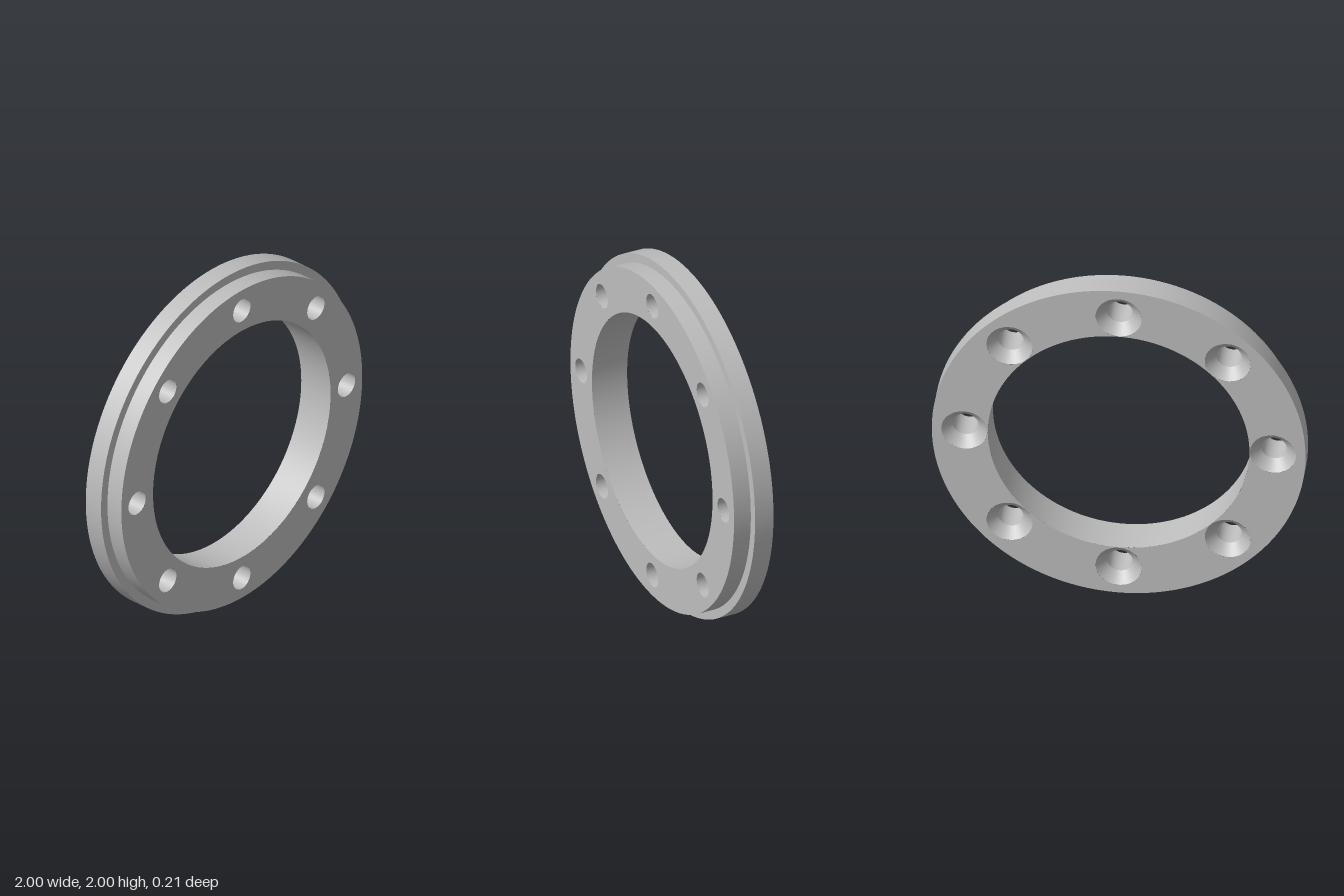
import * as THREE from 'three';

const BACK = -0.105, STEP = 0.005, FRONT = 0.105;
const OUTER = 1, SPIGOT = 0.95, INNER = 0.7;
const BOLT_CIRCLE = 0.826, BOLT_COUNT = 8, BORE = 0.068, SINK = 0.123;
const SEGMENTS = 128;

export function createModel() {
  const metal = new THREE.MeshStandardMaterial({ color: 0xbdbdbd });
  metal.name = 'grey metal';

  const group = new THREE.Group();
  group.name = 'flangeRing';

  function add(name, geometry, x = 0, y = 0) {
    const mesh = new THREE.Mesh(geometry, metal);
    mesh.name = name;
    mesh.position.set(x, y + 1, 0);
    group.add(mesh);
  }

  // Surface swept around the z axis between two (radius, z) points
  function band(r0, z0, r1, z1, segments = SEGMENTS) {
    const points = [new THREE.Vector2(r0, z0), new THREE.Vector2(r1, z1)];
    return new THREE.LatheGeometry(points, segments).rotateX(Math.PI / 2);
  }

  const bolts = Array.from({ length: BOLT_COUNT }, (_, i) => {
    const a = (i / BOLT_COUNT) * Math.PI * 2;
    return [BOLT_CIRCLE * Math.cos(a), BOLT_CIRCLE * Math.sin(a)];
  });

  // Flat ring face pierced by the bolt holes
  function face(radius, holeRadius) {
    const shape = new THREE.Shape().absarc(0, 0, radius, 0, Math.PI * 2);
    const hole = (x, y, r) => shape.holes.push(new THREE.Path().absarc(x, y, r, 0, Math.PI * 2, true));
    hole(0, 0, INNER);
    bolts.forEach(([x, y]) => hole(x, y, holeRadius));
    return new THREE.ShapeGeometry(shape, SEGMENTS);
  }

  // Stepped ring body
  add('flangeRim', band(OUTER, BACK, OUTER, STEP));
  add('stepShoulder', band(OUTER, STEP, SPIGOT, STEP));
  add('spigotRim', band(SPIGOT, STEP, SPIGOT, FRONT));
  add('innerWall', band(INNER, FRONT, INNER, BACK));
  add('frontFace', face(SPIGOT, BORE).translate(0, 0, FRONT));
  add('backFace', face(OUTER, SINK).rotateY(Math.PI).translate(0, 0, BACK));

  // Bolt holes, countersunk at 45 degrees from the back
  const seat = BACK + SINK - BORE;
  const bore = band(BORE, FRONT, BORE, seat, 48);
  const sink = band(BORE, seat, SINK, BACK, 48);
  for (const [x, y] of bolts) {
    add('boltBore', bore, x, y);
    add('countersink', sink, x, y);
  }

  return group;
}
